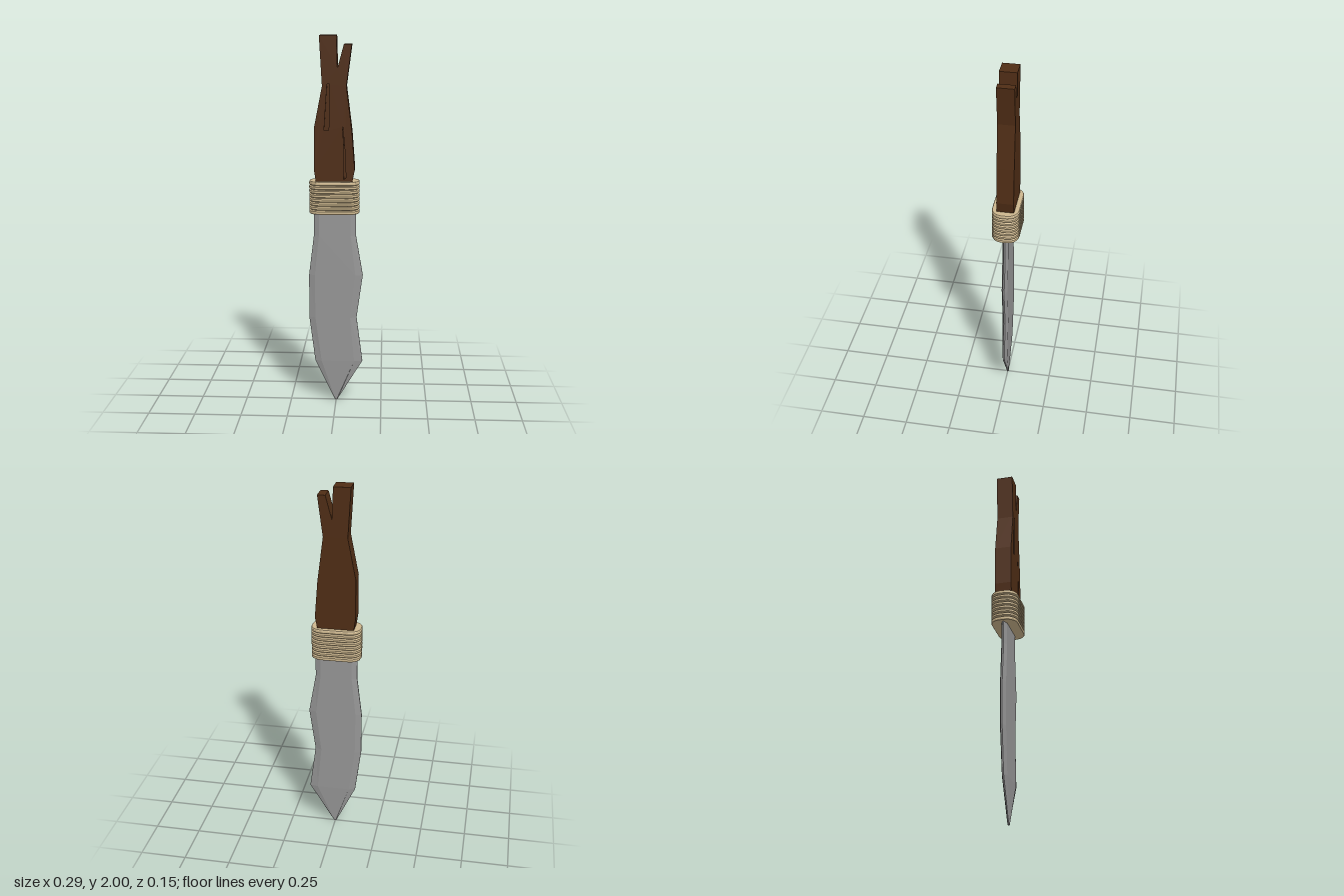
import * as THREE from 'three';

const steel = new THREE.MeshStandardMaterial({ color: 0x969696, flatShading: true });
const wood = new THREE.MeshStandardMaterial({ color: 0x4f2d15, flatShading: true });
const cord = new THREE.MeshStandardMaterial({ color: 0xcdb78e, flatShading: true });

// Skins a stack of closed cross-sections (bottom to top, turning from +x to +z) and caps both ends
function loft(rings) {
  const n = rings[0].length, pos = rings.flat(2), idx = [];
  for (let i = 0; i < rings.length - 1; i++) {
    for (let j = 0; j < n; j++) {
      const a = i * n + j, b = i * n + (j + 1) % n, c = b + n, d = a + n;
      idx.push(a, d, c, a, c, b);
    }
  }
  const top = (rings.length - 1) * n;
  for (let j = 1; j < n - 1; j++) {
    idx.push(0, j, j + 1, top, top + j + 1, top + j);
  }
  const g = new THREE.BufferGeometry();
  g.setAttribute('position', new THREE.Float32BufferAttribute(pos, 3));
  g.setIndex(idx);
  const flat = g.toNonIndexed();
  flat.computeVertexNormals();
  return flat;
}

function part(name, geometry, material) {
  const mesh = new THREE.Mesh(geometry, material);
  mesh.name = name;
  return mesh;
}

// Blade: flat middle with a bevel to each edge
function createBlade() {
  // y, left edge, left bevel, right bevel, right edge, half thickness, half edge thickness
  const stations = [
    [0, -0.006, -0.003, 0.003, 0.006, 0.005, 0.002],
    [0.23, -0.115, -0.08, 0.1, 0.145, 0.014, 0.004],
    [0.48, -0.147, -0.113, 0.077, 0.112, 0.016, 0.004],
    [0.72, -0.147, -0.115, 0.105, 0.145, 0.016, 0.004],
    [0.94, -0.12, -0.092, 0.078, 0.107, 0.016, 0.004],
    [1.1, -0.12, -0.092, 0.078, 0.107, 0.016, 0.004],
  ];
  return part('blade', loft(stations.map(([y, l, il, ir, r, t, e]) => [
    [r, y, e], [ir, y, t], [il, y, t], [l, y, e],
    [l, y, -e], [il, y, -t], [ir, y, -t], [r, y, -e],
  ])), steel);
}

// Cord wrap: a rounded rectangle whose outline swells once per coil
function createWrap() {
  const coils = 8, y0 = 1.065, pitch = 0.175 / coils, rings = [];
  const section = (y, inset) => {
    const pts = [];
    for (let q = 0; q < 4; q++) {
      const sx = q === 0 || q === 3 ? 1 : -1, sz = q < 2 ? 1 : -1;
      for (let k = 0; k <= 4; k++) {
        const a = (q + k / 4) * Math.PI / 2;
        pts.push([
          -0.009 + sx * 0.072 + Math.cos(a) * (0.062 - inset),
          y,
          sz * 0.015 + Math.sin(a) * (0.058 - inset),
        ]);
      }
    }
    return pts;
  };
  for (let i = 0; i < coils; i++) {
    for (const [f, inset] of [[0.02, 0.008], [0.25, 0], [0.75, 0], [0.98, 0.008]]) {
      const end = (i === 0 && f < 0.1) || (i === coils - 1 && f > 0.9);
      rings.push(section(y0 + (i + f) * pitch, end ? 0.003 : inset));
    }
  }
  return part('cordWrap', loft(rings), cord);
}

// Handle: split wooden grip with two cracks cut into the front layer
function createHandle() {
  const points = (list) => list.map(([x, y]) => new THREE.Vector2(x, y));
  const outline = points([
    [-0.1, 1.1], [0.07, 1.1], [0.086, 1.23], [0.1, 1.3], [0.085, 1.5], [0.055, 1.74],
    [0.083, 1.955], [0.042, 1.955], [0.008, 1.83], [0.003, 2], [-0.087, 2],
    [-0.072, 1.74], [-0.115, 1.52], [-0.115, 1.3], [-0.105, 1.23],
  ]);
  const cracks = [
    [[-0.062, 1.51], [-0.037, 1.51], [-0.032, 1.75], [-0.046, 1.75]],
    [[0.042, 1.25], [0.054, 1.26], [0.047, 1.42], [0.037, 1.53], [0.035, 1.53], [0.044, 1.4]],
  ];
  const slab = (name, z, depth, holes) => {
    const shape = new THREE.Shape(outline);
    shape.holes = holes.map((h) => new THREE.Path(points(h)));
    const g = new THREE.ExtrudeGeometry(shape, { depth, bevelEnabled: false });
    g.translate(0, 0, z);
    return part(name, g, wood);
  };
  const handle = new THREE.Group();
  handle.name = 'handle';
  handle.add(slab('handleCore', -0.047, 0.08, []), slab('crackedFront', 0.033, 0.01, cracks));
  return handle;
}

export function createModel() {
  const model = new THREE.Group();
  model.name = 'knife';
  model.add(createBlade(), createWrap(), createHandle());
  return model;
}
